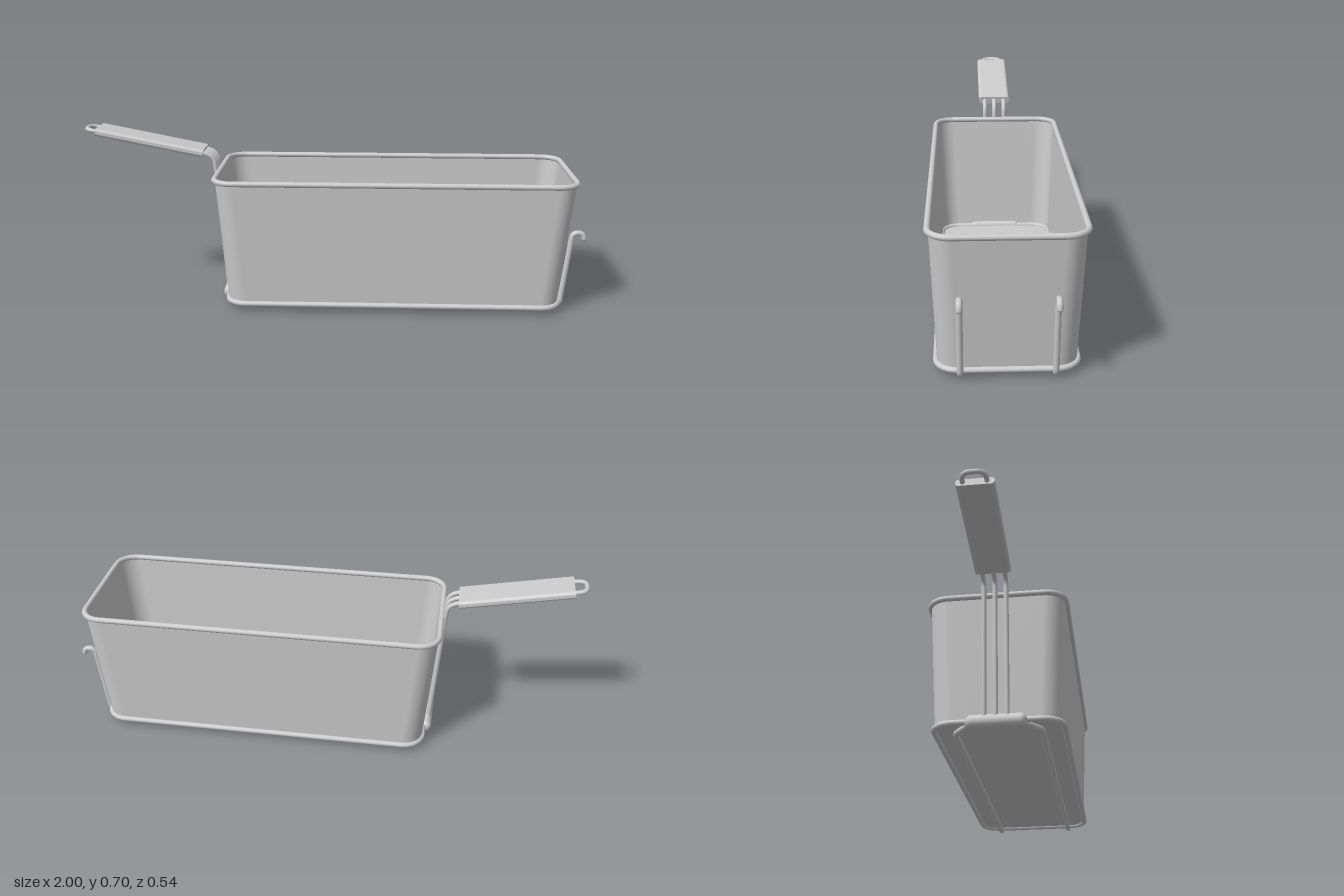
import * as THREE from 'three';

const material = new THREE.MeshStandardMaterial({ color: 0xcccccc, side: THREE.DoubleSide });
const V = (x, y, z) => new THREE.Vector3(x, y, z);

function add(parent, name, geometry) {
  const mesh = new THREE.Mesh(geometry, material);
  mesh.name = name;
  parent.add(mesh);
  return mesh;
}

// Rounded rectangle ring at height y, from x0 to x1 and -z to z
function ring(y, x0, x1, z, r, steps = 10) {
  const points = [];
  const corners = [[x1 - r, z - r], [x0 + r, z - r], [x0 + r, r - z], [x1 - r, r - z]];
  corners.forEach(([cx, cz], q) => {
    for (let i = 0; i <= steps; i++) {
      const a = (q + i / steps) * Math.PI / 2;
      points.push(V(cx + r * Math.cos(a), y, cz + r * Math.sin(a)));
    }
  });
  return points;
}

// Skin between two rings with the same number of points
function loft(lower, upper) {
  const n = lower.length, index = [];
  for (let i = 0; i < n; i++) {
    const j = (i + 1) % n;
    index.push(i, n + i, j, j, n + i, n + j);
  }
  const g = new THREE.BufferGeometry().setFromPoints([...lower, ...upper]);
  g.setIndex(index);
  g.computeVertexNormals();
  return g;
}

// Polyline with its inner corners rounded off
function roundedPath(points, radius) {
  const path = new THREE.CurvePath();
  let last = points[0];
  for (let i = 1; i < points.length - 1; i++) {
    const p = points[i];
    const toward = (q) => p.clone().add(q.clone().sub(p).setLength(Math.min(radius, p.distanceTo(q) * 0.49)));
    const a = toward(points[i - 1]), b = toward(points[i + 1]);
    path.add(new THREE.LineCurve3(last, a));
    path.add(new THREE.QuadraticBezierCurve3(a, p, b));
    last = b;
  }
  path.add(new THREE.LineCurve3(last, points[points.length - 1]));
  return path;
}

// Round wire with domed ends
function wire(parent, name, path, r, segments = 120) {
  const group = new THREE.Group();
  group.name = name;
  add(group, name + 'Rod', new THREE.TubeGeometry(path, segments, r, 12));
  for (const t of [0, 1]) {
    add(group, name + 'End', new THREE.SphereGeometry(r, 12, 8)).position.copy(path.getPointAt(t));
  }
  parent.add(group);
}

export function createModel() {
  const model = new THREE.Group();
  model.name = 'fryingBasket';

  // Tapered basket wall and floor
  const bottom = ring(0.034, -0.412, 0.898, 0.238, 0.075);
  const top = ring(0.527, -0.453, 0.943, 0.257, 0.075);
  add(model, 'basketWall', loft(bottom, top));
  const floorShape = new THREE.Shape(bottom.map((p) => new THREE.Vector2(p.x, -p.z)));
  const floor = add(model, 'basketFloor', new THREE.ShapeGeometry(floorShape).rotateX(-Math.PI / 2));
  floor.position.y = 0.034;

  // Rolled rims
  const rims = [
    ['topRim', ring(0.527, -0.455, 0.944, 0.26, 0.077)],
    ['bottomRim', ring(0.034, -0.413, 0.9, 0.241, 0.077)],
  ];
  for (const [name, points] of rims) {
    const path = new THREE.CurvePath();
    points.forEach((p, i) => path.add(new THREE.LineCurve3(p, points[(i + 1) % points.length])));
    add(model, name, new THREE.TubeGeometry(path, 320, 0.011, 12, true));
  }

  // Support rods: under the floor, up the far end, and over into hooks
  for (const s of [-1, 1]) {
    const z = 0.16 * s;
    const path = roundedPath([
      V(-0.42, 0.022, 0.095 * s), V(-0.345, 0.02, z), V(0.91, 0.02, z), V(0.942, 0.298, z),
    ], 0.02);
    for (let i = 0; i < 10; i++) {
      const at = (k) => {
        const a = Math.PI * (1 - k / 10);
        return V(0.966 + 0.024 * Math.cos(a), 0.298 + 0.022 * Math.sin(a), z);
      };
      path.add(new THREE.LineCurve3(at(i), at(i + 1)));
    }
    wire(model, s > 0 ? 'leftHookRod' : 'rightHookRod', path, 0.011, 260);
  }

  // Sleeve joining the rods at the handle end
  const sleeve = add(model, 'crossSleeve', new THREE.CapsuleGeometry(0.024, 0.19, 8, 20).rotateX(Math.PI / 2));
  sleeve.scale.set(0.95, 1.1, 0.95);
  sleeve.position.set(-0.423, 0.029, 0);

  // Three handle wires
  for (const z of [-0.042, 0, 0.042]) {
    wire(model, 'handleWire', roundedPath([
      V(-0.43, 0.03, z), V(-0.468, 0.52, z), V(-0.476, 0.589, z), V(-0.57, 0.608, z),
    ], 0.045), 0.0095);
  }

  // Flat grip with rounded edges, extruded along the handle
  const start = V(-0.518, 0.599, 0), end = V(-0.947, 0.683, 0);
  const length = start.distanceTo(end), w = 0.068, h = 0.0155, c = 0.015;
  const section = new THREE.Shape();
  section.moveTo(-w + c, -h);
  section.lineTo(w - c, -h);
  section.quadraticCurveTo(w - 0.003, -h, w, -h * 0.35);
  section.lineTo(w, h * 0.35);
  section.quadraticCurveTo(w - 0.003, h, w - c, h);
  section.lineTo(-w + c, h);
  section.quadraticCurveTo(-w + 0.003, h, -w, h * 0.35);
  section.lineTo(-w, -h * 0.35);
  section.quadraticCurveTo(-w + 0.003, -h, -w + c, -h);
  const grip = add(model, 'grip', new THREE.ExtrudeGeometry(section, { depth: length, bevelEnabled: false, curveSegments: 6 }));
  grip.position.copy(start);
  grip.lookAt(end);

  // Hanging loop at the handle tip
  wire(model, 'hangingLoop', roundedPath([
    V(-0.92, 0.678, 0.042), V(-0.991, 0.69, 0.042), V(-0.991, 0.69, -0.042), V(-0.92, 0.678, -0.042),
  ], 0.036), 0.009);

  return model;
}
